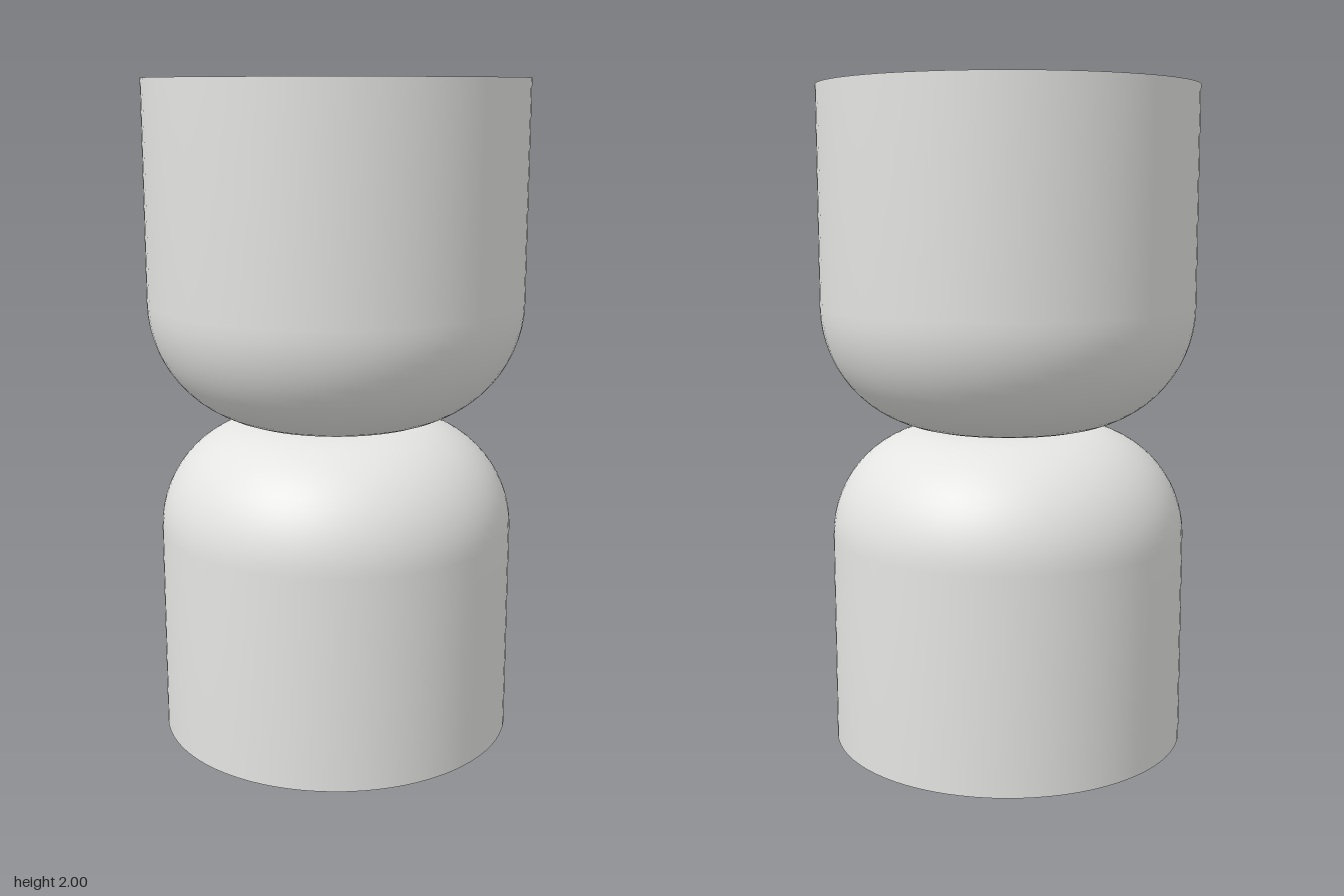
import * as THREE from 'three';
import { toCreasedNormals } from 'three/addons/utils/BufferGeometryUtils.js';

const shell = new THREE.MeshStandardMaterial({ color: 0xe4e4e2 });
shell.name = 'light grey';

// Arc points around (cx, cy), angles in degrees
function arc(cx, cy, r, from, to, steps = 16) {
  return Array.from({ length: steps + 1 }, (_, i) => {
    const a = THREE.MathUtils.degToRad(from + (to - from) * i / steps);
    return [cx + r * Math.cos(a), cy + r * Math.sin(a)];
  });
}

function part(name, geometry, position = [0, 0, 0]) {
  const mesh = new THREE.Mesh(geometry, shell);
  mesh.name = name;
  mesh.position.set(...position);
  return mesh;
}

function lathe(name, profile, segments = 80) {
  const points = profile.map(([x, y]) => new THREE.Vector2(Math.max(x, 0), y));
  return part(name, toCreasedNormals(new THREE.LatheGeometry(points, segments), 0.6));
}

const box = (name, size, position) => part(name, new THREE.BoxGeometry(...size), position);

const disc = (name, radius, height, position) =>
  part(name, new THREE.CylinderGeometry(radius, radius, height, 24), position);

// Bulb holder standing on the floor of the shade, its body hanging into the base
function createSocket() {
  const socket = new THREE.Group();
  socket.name = 'socket';
  socket.add(lathe('socketCollar', [
    [0.195, 0.985], [0.195, 1.01], [0.178, 1.022], [0.172, 1.06], [0.165, 1.065],
    [0.158, 1.065], [0.155, 1.05], [0.115, 1.05], [0.108, 1.03], [0.104, 0.96], [0, 0.96],
  ], 48));
  socket.add(lathe('socketBody', [
    [0, 0.31], [0.21, 0.31], [0.23, 0.34], [0.23, 0.93],
  ], 48));
  // Contacts
  socket.add(box('leftContact', [0.07, 0.05, 0.07], [0.057, 0.985, 0]));
  socket.add(box('leftContactPlate', [0.05, 0.012, 0.05], [0.057, 1.014, 0]));
  socket.add(disc('leftContactPin', 0.007, 0.01, [0.057, 1.024, 0]));
  socket.add(box('rightContact', [0.085, 0.05, 0.07], [-0.052, 0.985, 0]));
  socket.add(box('rightContactPlate', [0.07, 0.012, 0.05], [-0.05, 1.014, 0]));
  socket.add(box('contactSpring', [0.05, 0.012, 0.02], [-0.045, 1.025, 0]));
  for (const s of [-1, 1]) {
    socket.add(box('screwPlate', [0.075, 0.03, 0.055], [0, 0.975, s * 0.07]));
    socket.add(disc('screw', 0.02, 0.02, [0, 0.998, s * 0.075]));
    socket.add(box('screwSlot', [0.006, 0.006, 0.03], [0, 1.01, s * 0.075]));
    socket.add(box('latch', [0.08, 0.015, 0.03], [0, 1.055, s * 0.132]));
    for (const t of [-1, 1]) {
      socket.add(disc('rivet', 0.011, 0.012, [t * 0.12, 1.052, s * 0.068]));
    }
    // Wire clamps below
    const clamp = box('wireClamp', [0.035, 0.12, 0.05], [s * 0.035, 0.26, s * 0.035]);
    clamp.rotation.set(0, Math.PI / 4, s * 0.25);
    socket.add(clamp);
  }
  return socket;
}

export function createModel() {
  const model = new THREE.Group();
  model.name = 'tableLamp';

  // Thin-walled open shade
  model.add(lathe('shade', [
    [0, 0.978], ...arc(0.2, 1.348, 0.37, -90, 0), [0.57, 2],
    [0.56, 2], ...arc(0.2, 1.35, 0.36, 0, -90), [0, 0.99],
  ]));

  // Thin-walled domed base, open below
  model.add(lathe('base', [
    [0, 0.963], ...arc(0.213, 0.645, 0.318, 90, 0), [0.531, 0],
    [0.543, 0], ...arc(0.213, 0.645, 0.33, 0, 90), [0, 0.975],
  ]));

  // Inner sleeve standing inside the base
  model.add(lathe('innerSleeve', [
    [0.37, 0.87], [0.37, 0.004], [0.42, 0.004], [0.42, 0.87],
  ]));

  // Rib along the sleeve wall
  const rib = box('sleeveRib', [0.1, 0.8, 0.016], [-0.128, 0.42, 0.34]);
  rib.rotation.y = Math.atan2(-0.128, 0.34);
  model.add(rib);

  model.add(createSocket());
  return model;
}
